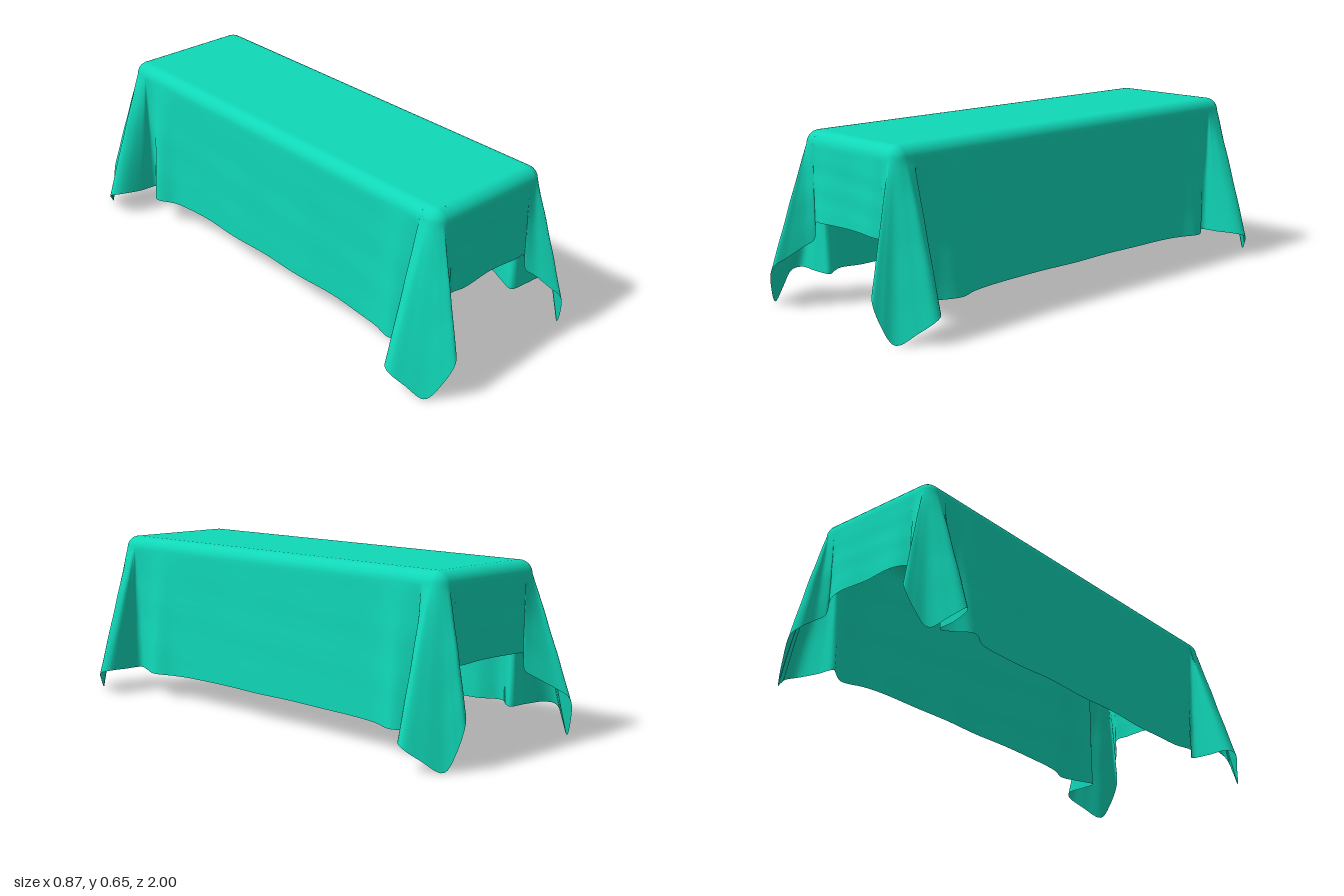
import * as THREE from 'three';

const CORE_X = 0.22, CORE_Z = 0.82, ROUND = 0.05, TOP = 0.652;
const COLS = 560, BEND = 6, ROWS = 26;

// Each hanging corner: the pleat on the long side, how far the flap reaches sideways,
// where its lowest tip hangs, and where its edge on the short end turns back.
const corners = [
  { sx: 1, sz: 1, pleatX: 0.312, pleatZ: 0.62, reachX: 0.432, reachZ: 0.828, tipX: 0.335, tipZ: 0.935, turnX: 0.28, turnZ: 0.99 },
  { sx: -1, sz: 1, pleatX: 0.305, pleatZ: 0.69, reachX: 0.435, reachZ: 0.82, tipX: 0.372, tipZ: 0.94, turnX: 0.285, turnZ: 0.998 },
  { sx: -1, sz: -1, pleatX: 0.325, pleatZ: 0.68, reachX: 0.438, reachZ: 0.85, tipX: 0.37, tipZ: 0.95, turnX: 0.3, turnZ: 0.998 },
  { sx: 1, sz: -1, pleatX: 0.308, pleatZ: 0.685, reachX: 0.432, reachZ: 0.84, tipX: 0.338, tipZ: 0.95, turnX: 0.265, turnZ: 0.982 }
];

// Hem of one corner, from the long side round to the short end, mirrored into its quadrant
function cornerHem({ sx, sz, pleatX, pleatZ, reachX, reachZ, tipX, tipZ, turnX, turnZ }) {
  const at = (x, y, z) => new THREE.Vector3(x * sx, y, z * sz);
  return [
    at(0.275, 0.105, 0.42),
    at(0.283, 0.1, pleatZ - 0.09),
    at(pleatX, 0.1, pleatZ),
    at(0.276, 0.1, (pleatZ + 0.8) / 2),
    at(0.255, 0.1, 0.775),
    at(0.33, 0.1, 0.787),
    at(reachX - 0.022, 0.1, reachZ - 0.03),
    at(reachX, 0.09, reachZ),
    at((reachX + tipX) / 2 + 0.005, 0.045, (reachZ + tipZ) / 2),
    at(tipX, 0.004, tipZ),
    at((tipX + turnX) / 2, 0.07, (tipZ + turnZ) / 2 + 0.01),
    at(turnX, 0.16, turnZ),
    at(turnX - 0.027, 0.195, 0.955),
    at(0.224, 0.235, 0.903),
    at(0.2, 0.258, 0.877),
    at(0.192, 0.32, 0.87),
    at(0.14, 0.33, 0.883)
  ];
}

// One closed curve that follows the whole hem
function hemCurve() {
  const points = [];
  corners.forEach((corner, k) => {
    const { sx, sz } = corner;
    const run = cornerHem(corner);
    if (k % 2) { // arrives at the middle of a long side
      points.push(...run.reverse());
      for (const z of [0.2, 0, -0.2]) points.push(new THREE.Vector3(sx * 0.278, 0.107, sz * z));
    } else {     // arrives at the middle of a short end
      points.push(...run, new THREE.Vector3(0, 0.332, sz * 0.876));
    }
  });
  return new THREE.CatmullRomCurve3(points, true, 'centripetal');
}

function clothGeometry() {
  const hem = hemCurve().getSpacedPoints(COLS).slice(0, COLS);
  const stride = BEND + ROWS + 1;
  const positions = [], indices = [];

  hem.forEach((h, i) => {
    const core = new THREE.Vector3(
      THREE.MathUtils.clamp(h.x, -CORE_X, CORE_X), 0, THREE.MathUtils.clamp(h.z, -CORE_Z, CORE_Z));
    const out = new THREE.Vector3(h.x - core.x, 0, h.z - core.z).normalize();

    // soft bend over the table edge
    for (let j = 0; j <= BEND; j++) {
      const a = j / BEND * Math.PI / 2;
      const r = ROUND * Math.sin(a);
      positions.push(core.x + out.x * r, TOP - ROUND * (1 - Math.cos(a)), core.z + out.z * r);
    }
    // hanging cloth, fanning out towards the hem with slight ripples
    const edge = core.clone().addScaledVector(out, ROUND);
    for (let j = 1; j <= ROWS; j++) {
      const v = j / ROWS, s = Math.pow(v, 0.93);
      const ripple = 0.003 * Math.sin(i / COLS * Math.PI * 2 * 19 + 2 * v) * v
        + 0.003 * Math.sin(v * 17 + i / COLS * Math.PI * 2 * 4) * v * (1 - v);
      positions.push(
        edge.x + (h.x - edge.x) * s + out.x * ripple,
        THREE.MathUtils.lerp(TOP - ROUND, h.y, v),
        edge.z + (h.z - edge.z) * s + out.z * ripple);
    }
  });

  // flat top closes on a centre point
  const centre = positions.length / 3;
  positions.push(0, TOP, 0);
  for (let i = 0; i < COLS; i++) {
    const a = i * stride, b = ((i + 1) % COLS) * stride;
    indices.push(centre, b, a);
    for (let j = 0; j < stride - 1; j++) {
      indices.push(a + j, b + j, a + j + 1, b + j, b + j + 1, a + j + 1);
    }
  }

  const geometry = new THREE.BufferGeometry();
  geometry.setAttribute('position', new THREE.Float32BufferAttribute(positions, 3));
  geometry.setIndex(indices);
  geometry.computeVertexNormals();

  // the top stays evenly lit up to the bend
  const normal = geometry.attributes.normal;
  for (let i = 0; i < COLS; i++) normal.setXYZ(i * stride, 0, 1, 0);
  normal.setXYZ(centre, 0, 1, 0);
  return geometry;
}

export function createModel() {
  const group = new THREE.Group();
  group.name = 'drapedTablecloth';
  const material = new THREE.MeshStandardMaterial({ color: 0x10d8b8, side: THREE.DoubleSide });
  const cloth = new THREE.Mesh(clothGeometry(), material);
  cloth.name = 'tablecloth';
  group.add(cloth);
  return group;
}
